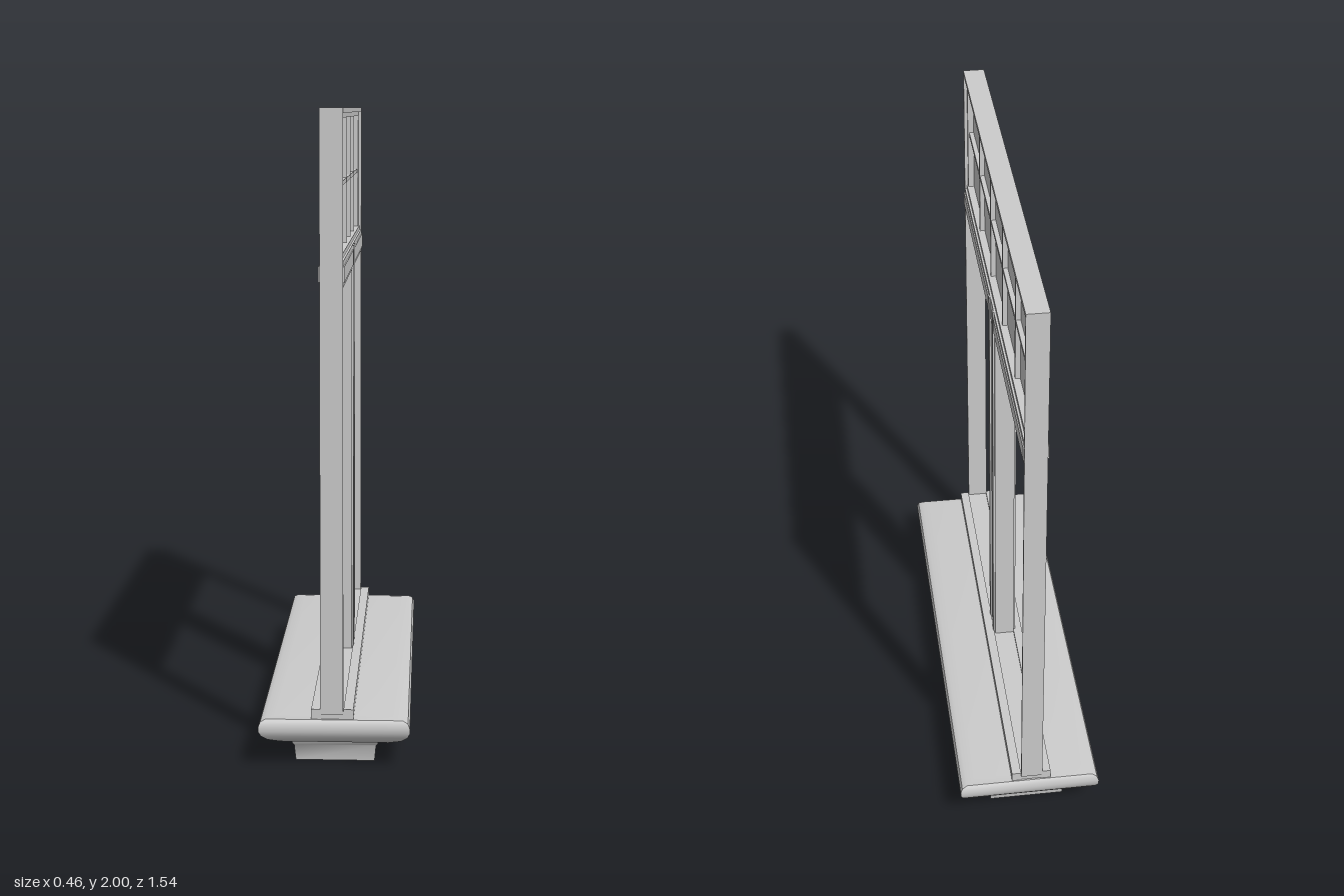
import * as THREE from 'three';
import { toCreasedNormals } from 'three/addons/utils/BufferGeometryUtils.js';

const material = new THREE.MeshStandardMaterial({ color: 0xcccccc, side: THREE.DoubleSide });
const CX = -0.01; // mid-plane of the frame

// Box given by its minimum and maximum on each axis
function box(parent, name, x0, x1, y0, y1, z0, z1) {
  const mesh = new THREE.Mesh(new THREE.BoxGeometry(x1 - x0, y1 - y0, z1 - z0), material);
  mesh.position.set((x0 + x1) / 2, (y0 + y1) / 2, (z0 + z1) / 2);
  mesh.name = name;
  parent.add(mesh);
  return mesh;
}

// Box centred on the frame plane, with half-depth d
const bar = (parent, name, d, y0, y1, z0, z1) => box(parent, name, CX - d, CX + d, y0, y1, z0, z1);

// Mitred moulding: rectangles [halfX, halfZ, y] joined from bottom to top
function mouldingGeometry(levels) {
  const pos = [];
  const corner = ([hx, hz, y], k) => [[hx, y, hz], [hx, y, -hz], [-hx, y, -hz], [-hx, y, hz]][k % 4];
  const quad = (a, b, c, d) => pos.push(...a, ...b, ...c, ...a, ...c, ...d);
  for (let i = 0; i < levels.length - 1; i++) {
    for (let k = 0; k < 4; k++) {
      quad(corner(levels[i], k), corner(levels[i], k + 1), corner(levels[i + 1], k + 1), corner(levels[i + 1], k));
    }
  }
  const low = levels[0], high = levels[levels.length - 1];
  quad(corner(low, 3), corner(low, 2), corner(low, 1), corner(low, 0));
  quad(corner(high, 0), corner(high, 1), corner(high, 2), corner(high, 3));
  const geometry = new THREE.BufferGeometry();
  geometry.setAttribute('position', new THREE.Float32BufferAttribute(pos, 3));
  return toCreasedNormals(geometry, 0.7);
}

export function createModel() {
  const model = new THREE.Group();
  model.name = 'windowFrame';

  // Sill: stepped plinth under a rounded slab
  const sill = new THREE.Mesh(mouldingGeometry([
    [0.122, 0.685, 0], [0.127, 0.69, 0.05], [0.132, 0.695, 0.055], [0.134, 0.7, 0.07],
    [0.165, 0.735, 0.075], [0.205, 0.75, 0.085], [0.225, 0.762, 0.1], [0.232, 0.768, 0.115],
    [0.232, 0.768, 0.13], [0.226, 0.764, 0.145], [0.21, 0.758, 0.153], [0.18, 0.73, 0.157],
  ]), material);
  sill.position.x = -0.003;
  sill.name = 'sill';
  model.add(sill);

  // Threshold with a raised strip along each side
  const threshold = new THREE.Group();
  threshold.name = 'threshold';
  model.add(threshold);
  box(threshold, 'thresholdFloor', -0.045, 0.028, 0.15, 0.178, -0.753, 0.753);
  box(threshold, 'thresholdStripRight', -0.073, -0.043, 0.15, 0.185, -0.755, 0.755);
  box(threshold, 'thresholdStripLeft', 0.026, 0.056, 0.15, 0.185, -0.755, 0.755);

  // Outer frame: thin jambs and header
  for (const s of [-1, 1]) {
    const z = s * 0.753;
    bar(model, 'jamb', 0.035, 0.17, 2, z - 0.004, z + 0.004);
  }
  bar(model, 'header', 0.035, 1.985, 2, -0.753, 0.753);

  // Centre post with two beads on each face
  const post = new THREE.Group();
  post.name = 'centrePost';
  model.add(post);
  bar(post, 'postBody', 0.033, 0.17, 1.55, -0.06, 0.06);
  for (const s of [-1, 1]) bar(post, 'postBead', 0.039, 0.17, 1.55, s * 0.042 - 0.01, s * 0.042 + 0.01);

  // Transom with a raised rail on each side of the post
  const transom = new THREE.Group();
  transom.name = 'transom';
  model.add(transom);
  bar(transom, 'transomBody', 0.035, 1.475, 1.552, -0.753, 0.753);
  for (const s of [-1, 1]) bar(transom, 'transomRail', 0.039, 1.49, 1.537, s * 0.407 - 0.345, s * 0.407 + 0.345);

  // Upper sash: panes behind a five by two grid of glazing bars
  const sash = new THREE.Group();
  sash.name = 'upperSash';
  model.add(sash);
  bar(sash, 'panes', 0.004, 1.55, 1.987, -0.75, 0.75);
  bar(sash, 'sashTopRail', 0.024, 1.97, 1.985, -0.75, 0.75);
  bar(sash, 'sashBottomRail', 0.028, 1.55, 1.566, -0.75, 0.75);
  for (const s of [-1, 1]) bar(sash, 'sashStile', 0.024, 1.55, 1.985, s * 0.743 - 0.007, s * 0.743 + 0.007);
  for (const z of [-0.438, -0.146, 0.146, 0.438]) {
    bar(sash, 'verticalGlazingBar', 0.02, 1.56, 1.98, z - 0.007, z + 0.007);
  }
  bar(sash, 'horizontalGlazingBar', 0.019, 1.762, 1.776, -0.745, 0.745);

  return model;
}
